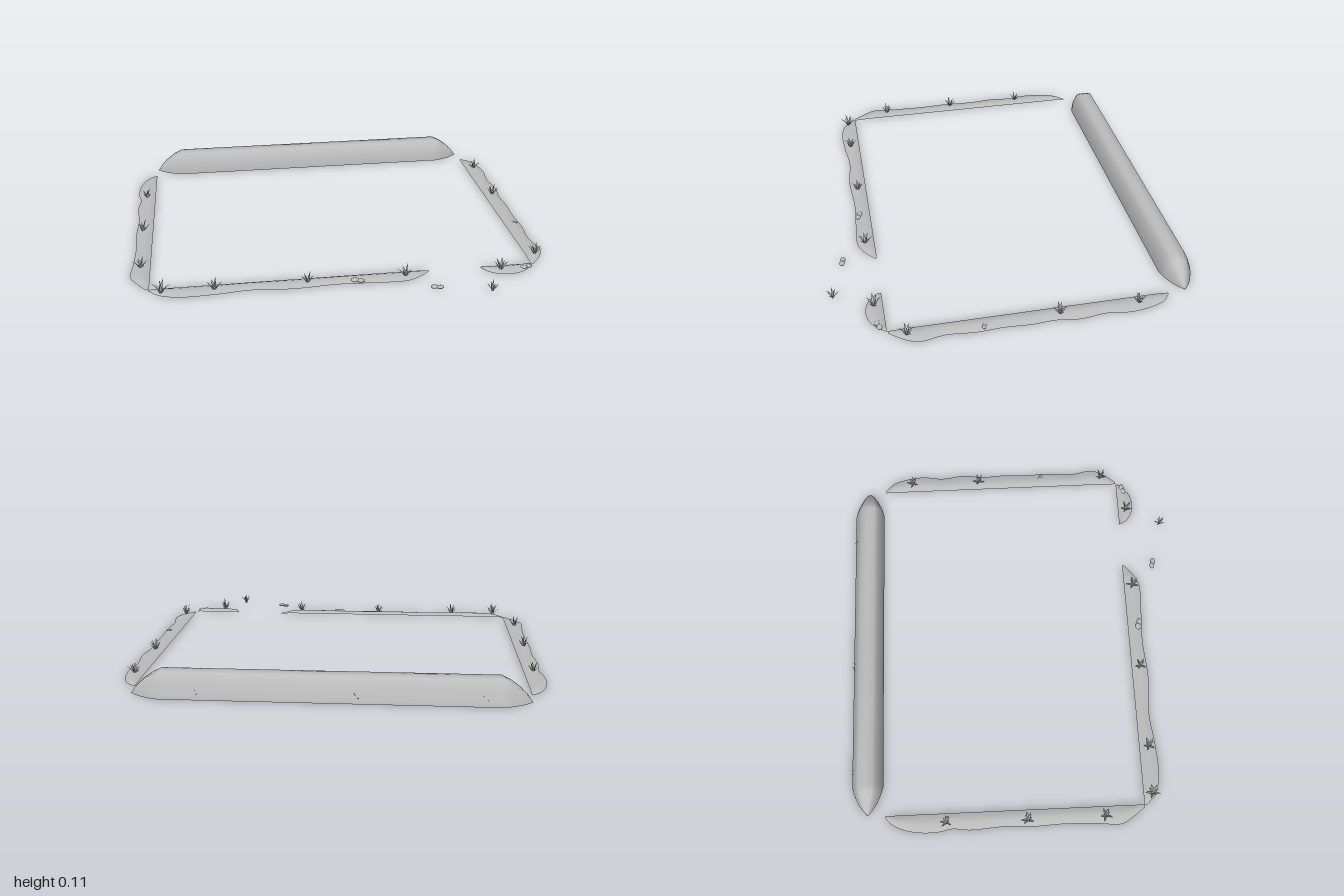
import * as THREE from 'three';

const grey = new THREE.MeshStandardMaterial({ color: 0xbcbcbc, side: THREE.DoubleSide });
grey.name = 'plain grey';

function named(name, geometry) {
  const mesh = new THREE.Mesh(geometry, grey);
  mesh.name = name;
  return mesh;
}

// Small seeded generator for natural variation
function seeded(seed) {
  let s = seed;
  return () => (s = (s * 16807) % 2147483647) / 2147483647;
}

// Skin a list of cross-sections; each row is a list of [x, y, z]
function skin(rows) {
  const n = rows[0].length, index = [];
  for (let i = 0; i < rows.length - 1; i++) {
    for (let j = 0; j < n - 1; j++) {
      const a = i * n + j, b = a + n;
      index.push(a, b, a + 1, b, b + 1, a + 1);
    }
  }
  const g = new THREE.BufferGeometry();
  g.setAttribute('position', new THREE.Float32BufferAttribute(rows.flat(2), 3));
  g.setIndex(index);
  g.computeVertexNormals();
  return g;
}

// Long raised bank with an open underside and tapered ends
function makeBank() {
  const profile = [
    [-0.70, 0], [-0.702, 0.025], [-0.71, 0.06], [-0.723, 0.09], [-0.74, 0.112],
    [-0.775, 0.114], [-0.81, 0.112], [-0.832, 0.07], [-0.853, 0.015], [-0.855, 0],
  ];
  // x, width scale, height scale
  const end = [[0.9, 0.02, 0], [0.875, 0.32, 0.3], [0.845, 0.58, 0.56], [0.80, 0.85, 0.84], [0.76, 1, 1]];
  const stations = [
    ...end.map(([x, w, h]) => [-x, w, h]),
    [-0.25, 1, 1], [0.25, 1, 1],
    ...end.slice().reverse(),
  ];
  return named('bank', skin(stations.map(([x, w, h]) =>
    profile.map(([z, y]) => [x, y * h, -0.777 + (z + 0.777) * w]))));
}

// Thin ground strip: wavy outer edge, straight inner edge.
// Outline points are [x, z]; the inner edge lies at the given x or z.
function makeStrip(name, axis, inner, outline) {
  const curve = new THREE.CatmullRomCurve3(outline.map(([x, z]) => new THREE.Vector3(x, 0, z)));
  const heights = [0.001, 0.008, 0.012, 0.011, 0.003];
  const rows = curve.getPoints(48).map((p, i) => {
    const taper = Math.min(1, i / 5, (48 - i) / 5);
    return heights.map((h, j) => {
      const t = j / (heights.length - 1);
      const x = axis === 'x' ? p.x : THREE.MathUtils.lerp(p.x, inner, t);
      const z = axis === 'z' ? p.z : THREE.MathUtils.lerp(p.z, inner, t);
      return [x, 0.001 + h * taper, z];
    });
  });
  return named(name, skin(rows));
}

// Grass tuft: pointed blades arching out from one root
function makeTuft(x, z, size, seed) {
  const rand = seeded(seed * 7919 + 13);
  const tuft = new THREE.Group();
  tuft.name = 'grassTuft';
  const blades = 8;
  for (let i = 0; i < blades; i++) {
    const reach = (i % 3 === 0 ? 0.014 : 0.03) + rand() * 0.008;
    const height = (i % 3 === 0 ? 0.056 : 0.036) + rand() * 0.008;
    const rows = [0, 0.35, 0.7, 1].map((t, k) => {
      const w = [0.0035, 0.005, 0.0035, 0.0002][k];
      const y = height * (1.25 * t - 0.25 * t * t);
      const out = 0.003 + reach * Math.pow(t, 1.5);
      return [[-w, y, out], [0, y, out - w * 0.4], [w, y, out]];
    });
    const blade = named('grassBlade', skin(rows));
    blade.rotation.y = (i + rand() * 0.6) / blades * Math.PI * 2;
    tuft.add(blade);
  }
  tuft.position.set(x, 0.003, z);
  tuft.scale.setScalar(size);
  return tuft;
}

// Flattened pebble
function makePebble(x, z, r) {
  const pebble = named('pebble', new THREE.SphereGeometry(1, 10, 7));
  pebble.scale.set(r, r * 0.45, r * 0.75);
  pebble.position.set(x, 0.009, z);
  return pebble;
}

export function createModel() {
  const model = new THREE.Group();
  model.name = 'groundBorder';
  model.add(makeBank());

  // Side strips and broken front strip
  model.add(makeStrip('rightStrip', 'z', -0.906, [
    [-0.915, -0.69], [-0.955, -0.65], [-0.985, -0.58], [-0.998, -0.5], [-0.996, -0.42], [-0.984, -0.36],
    [-0.994, -0.27], [-0.984, -0.1], [-0.99, 0.05], [-0.984, 0.2], [-0.99, 0.37], [-0.998, 0.48],
    [-0.965, 0.54], [-0.92, 0.602],
  ]));
  model.add(makeStrip('leftStrip', 'z', 0.906, [
    [0.92, 0.605], [0.965, 0.55], [0.998, 0.48], [0.98, 0.36], [0.99, 0.22], [0.984, 0.1],
    [0.99, -0.03], [0.984, -0.14], [0.998, -0.25], [0.984, -0.37], [0.998, -0.48], [0.985, -0.58],
    [0.96, -0.65], [0.918, -0.69],
  ]));
  model.add(makeStrip('frontStrip', 'x', 0.602, [
    [-0.91, 0.612], [-0.86, 0.66], [-0.77, 0.688], [-0.6, 0.685], [-0.46, 0.67], [-0.38, 0.674],
    [-0.25, 0.685], [-0.05, 0.673], [0.1, 0.68], [0.28, 0.685], [0.34, 0.66], [0.4, 0.613],
  ]));
  model.add(makeStrip('frontStripEnd', 'x', 0.608, [
    [0.652, 0.61], [0.67, 0.645], [0.72, 0.68], [0.78, 0.69], [0.84, 0.675], [0.88, 0.645], [0.905, 0.615],
  ]));

  // Grass: x, z, size
  [
    [-0.95, -0.385, 0.9], [-0.955, 0.02, 1], [-0.95, 0.405, 0.95],
    [0.95, -0.535, 0.95], [0.95, -0.165, 1], [0.95, 0.525, 1],
    [-0.85, 0.645, 1.1], [-0.61, 0.65, 1], [-0.18, 0.645, 0.9], [0.28, 0.648, 1], [0.74, 0.65, 1.05],
    [0.645, 0.828, 0.85],
    [-0.69, -0.832, 0.75], [-0.125, -0.835, 0.8], [0.585, -0.832, 0.8],
  ].forEach(([x, z, s], i) => model.add(makeTuft(x, z, s, i + 1)));

  // Pebbles: x, z, radius
  [
    [0.04, 0.655, 0.02], [0.065, 0.664, 0.018], [0.39, 0.764, 0.018], [0.415, 0.77, 0.018],
    [0.855, 0.645, 0.018], [0.88, 0.637, 0.018], [0.955, 0.18, 0.013], [0.97, 0.186, 0.012],
  ].forEach((p) => model.add(makePebble(...p)));

  return model;
}
